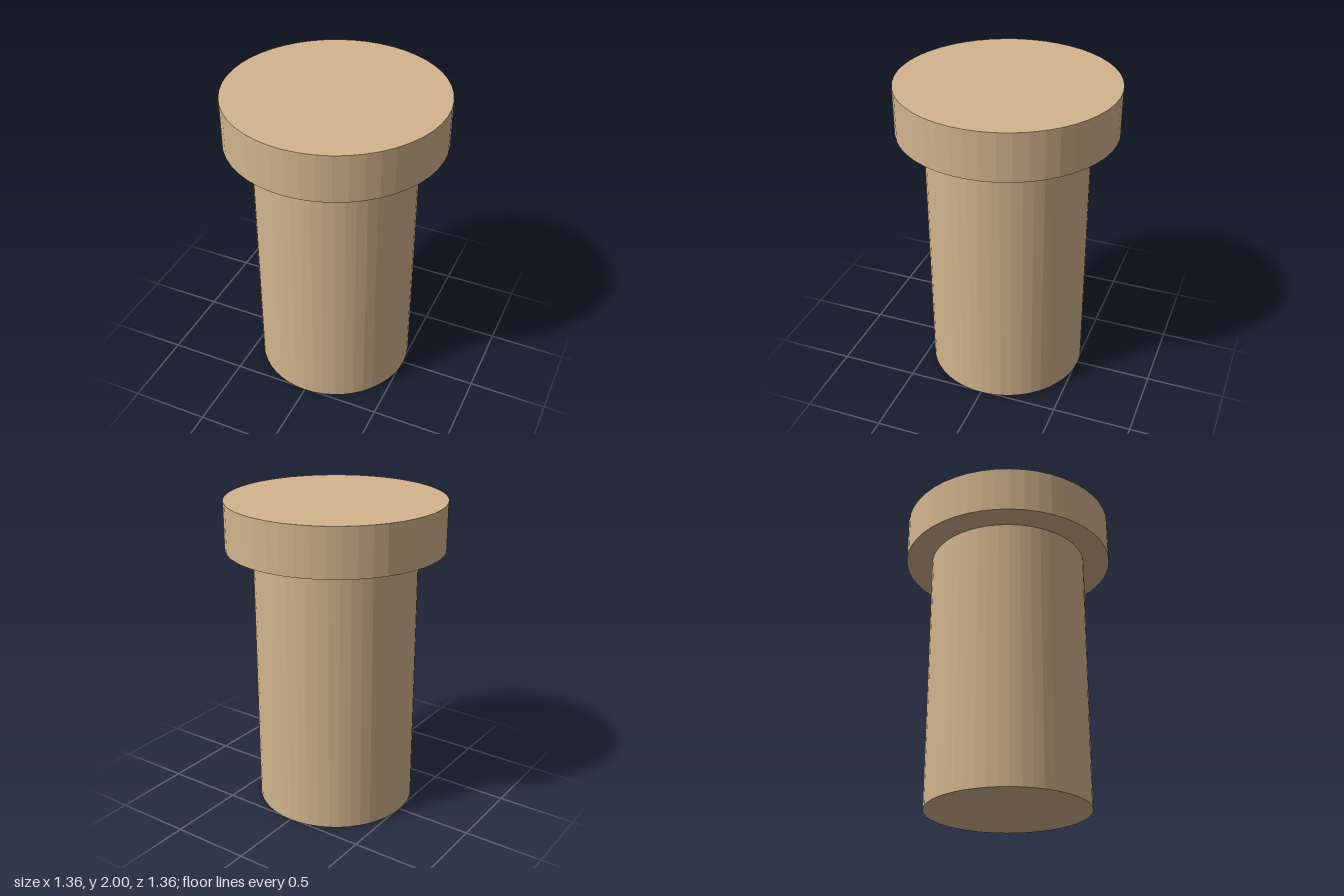
import * as THREE from 'three';

const SIDES = 48;

export function createModel() {
  const model = new THREE.Group();
  model.name = 'flangedPin';
  const material = new THREE.MeshStandardMaterial({ color: 0xd2b48c, flatShading: true });

  // Solid faceted cylinder standing between two heights
  function addCylinder(name, radius, bottom, top) {
    const geometry = new THREE.CylinderGeometry(radius, radius, top - bottom, SIDES);
    const mesh = new THREE.Mesh(geometry, material);
    mesh.name = name;
    mesh.position.y = (bottom + top) / 2;
    model.add(mesh);
  }

  // Long shaft and the wider head on top of it
  addCylinder('shaft', 0.51, 0, 1.7);
  addCylinder('head', 0.68, 1.7, 2);

  return model;
}
